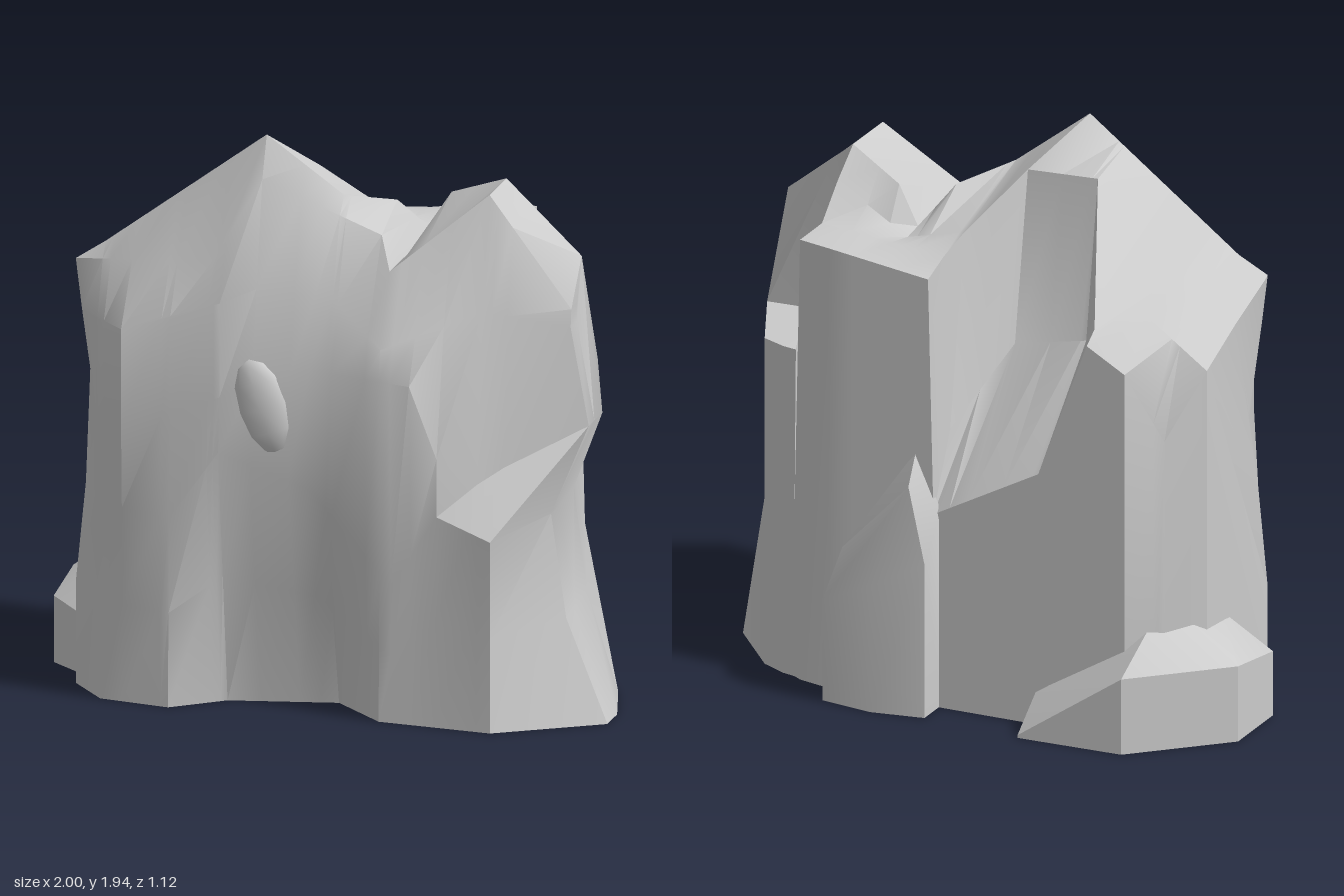
import * as THREE from 'three';
import { toCreasedNormals } from 'three/addons/utils/BufferGeometryUtils.js';
import { ConvexGeometry } from 'three/addons/geometries/ConvexGeometry.js';

const material = new THREE.MeshStandardMaterial({ color: 0xcccccc });

// Straight-line interpolation along a row of points whose first entry is the position.
function at(line, t) {
  const i = line.findIndex((p) => p[0] >= t);
  if (i < 1) return line.at(i);
  const a = line[i - 1], b = line[i];
  return a.map((v, k) => THREE.MathUtils.lerp(v, b[k], (t - a[0]) / (b[0] - a[0])));
}

// Outline of the right wall [y, x]: flared foot, narrow waist, bulging chest.
const rightWall = [[0, 1], [0.35, 0.85], [0.7, 0.79], [1, 0.91], [1.34, 0.85], [2, 0.85]];

// The end walls lean and pinch with height; the right one turns into an upright back corner.
function place([x, y, z]) {
  if (x === 0.85) x = THREE.MathUtils.lerp(at(rightWall, y)[1], 0.74, THREE.MathUtils.clamp(-z / 0.31, 0, 1));
  if (x === -0.86 && z > 0) x += 0.07 * Math.max(0, 1 - Math.abs(y - 0.95) / 0.5);
  return new THREE.Vector3(x, y, z);
}

// Skin neighbouring slices, wrapping round the underside, and close both ends.
function loft(slices) {
  const pos = [];
  const quad = (a, b, c, d) => [a, b, c, a, c, d].forEach((p) => pos.push(p.x, p.y, p.z));
  const n = slices[0].length;
  for (let i = 0; i < slices.length - 1; i++) {
    for (let j = 0; j < n; j++) {
      const k = (j + 1) % n;
      quad(slices[i][j], slices[i + 1][j], slices[i + 1][k], slices[i][k]);
    }
  }
  const l = slices[0], r = slices.at(-1);
  for (let j = 0; j < (n - 1) / 2; j++) {
    const b = n - 1 - j;
    quad(r[j], r[b], r[b - 1], r[j + 1]);
    quad(l[j], l[j + 1], l[b - 1], l[b]);
  }
  const geo = new THREE.BufferGeometry();
  geo.setAttribute('position', new THREE.Float32BufferAttribute(pos, 3));
  return toCreasedNormals(geo, 0.6);
}

// The main rock is drawn by feature lines running left to right, each [x, y, z].
function mainRock() {
  // Front: foot with the niche, niche rim, chest, brow under the hollow
  const foot = [[-0.86, 0, 0.25], [-0.73, 0, 0.43], [-0.48, 0, 0.49], [-0.31, 0, 0.35],
    [0.06, 0, 0.29], [0.25, 0, 0.5], [0.65, 0, 0.56], [0.85, 0, 0.34]];
  const rim = [[-0.86, 0.7, 0.25], [-0.65, 0.67, 0.45], [-0.48, 0.65, 0.48], [-0.31, 0.89, 0.48],
    [0, 0.78, 0.47], [0.29, 0.47, 0.49], [0.45, 0.72, 0.5], [0.65, 0.66, 0.56], [0.85, 0.7, 0.28]];
  const chest = [[-0.86, 0.95, 0.25], [-0.65, 0.95, 0.46], [0, 1.19, 0.46],
    [0.36, 1.17, 0.52], [0.45, 0.92, 0.5], [0.57, 0.82, 0.42], [0.85, 1, 0.24]];
  const brow = [[-0.86, 1.3, 0.25], [-0.65, 1.29, 0.46], [-0.31, 1.4, 0.46], [-0.2, 1.44, 0.39],
    [0.06, 1.42, 0.38], [0.25, 1.28, 0.48], [0.57, 1.4, 0.35], [0.85, 1.34, 0.25]];
  // Top: crest, skyline ridge and the saddle behind it
  const crest = [[-0.86, 1.47, 0.25], [-0.35, 1.53, 0.39], [-0.2, 1.8, 0.31], [0.2, 1.62, 0.26],
    [0.25, 1.52, 0.35], [0.57, 1.78, 0.25], [0.85, 1.4, 0.24]];
  const ridge = [[-0.86, 1.46, 0.23], [-0.2, 1.94, 0.25], [0.06, 1.74, 0.22], [0.2, 1.69, 0.05],
    [0.29, 1.56, -0.06], [0.36, 1.7, -0.06], [0.57, 1.78, 0.02], [0.85, 1.55, 0.1]];
  const saddle = [[-0.86, 1.38, 0], [-0.65, 1.53, 0], [-0.51, 1.43, -0.36], [-0.33, 1.8, 0.04],
    [-0.07, 1.79, 0.04], [0.06, 1.62, -0.18], [0.29, 1.55, -0.14], [0.57, 1.69, -0.1],
    [0.6, 1.18, -0.01], [0.85, 1.17, 0]];
  // Back: floor of the scoop and top of the back wall, with the chamfered corner and the ledge
  const scoop = [[-0.86, 1.29, -0.22], [-0.65, 1.44, -0.22], [-0.51, 1.41, -0.39], [-0.33, 1.25, -0.05],
    [-0.07, 1.2, -0.06], [0.06, 0.95, -0.29], [0.08, 1.57, -0.3], [0.57, 1.58, -0.22],
    [0.6, 1.17, -0.36], [0.85, 1.17, -0.31]];
  const backEdge = [[-0.86, 1.07, -0.22], [-0.76, 1.06, -0.34], [-0.65, 1.31, -0.42], [-0.51, 1.39, -0.42],
    [-0.33, 0.9, -0.42], [0.06, 0.69, -0.42], [0.08, 1.53, -0.42], [0.45, 1.58, -0.42],
    [0.57, 1.58, -0.39], [0.6, 0.6, -0.37], [0.85, 0.6, -0.31]];

  const lines = [foot, rim, chest, brow, crest, ridge, saddle, scoop, backEdge];
  const stations = [...new Set(lines.flat().map((p) => p[0]))].sort((a, b) => a - b);
  const rows = stations.map((x) => {
    const [base, ...upper] = lines.map((line) => at(line, x));
    const low = base.map((v, k) => (v + upper[0][k]) / 2);
    const back = upper.at(-1);
    return [base, low, ...upper, [x, 0, back[2]]];
  });
  // One more slice drawn in towards the middle rounds the right wall, its back level with its front
  rows.push(rows.at(-1).map(([x, y, z], j, row) =>
    [x, j > 6 ? row[10 - j][1] : y, 0.1 + (z - 0.1) * 0.45]));
  return loft(rows.map((row) => row.map(place)));
}

// Boulder standing on a footprint of [x, z, height], with extra points on top.
function boulder(footprint, ...tops) {
  const pts = footprint.flatMap(([x, z, h]) => [new THREE.Vector3(x, 0, z), new THREE.Vector3(x, h, z)]);
  tops.forEach((p) => pts.push(new THREE.Vector3(...p)));
  return toCreasedNormals(new ConvexGeometry(pts), 0.6);
}

export function createModel() {
  const group = new THREE.Group();
  group.name = 'rock';
  const add = (name, geometry) => {
    const mesh = new THREE.Mesh(geometry, material);
    mesh.name = name;
    group.add(mesh);
    return mesh;
  };

  add('mainRock', mainRock());

  // Low boulder at the back left foot
  add('footBoulder', boulder(
    [[-1, 0, 0.23], [-1, -0.27, 0.27], [-0.82, -0.38, 0.27], [-0.7, -0.55, 0.27],
      [-0.32, -0.56, 0.01], [-0.32, -0.4, 0.13], [-0.84, 0.16, 0.2]],
    [-0.84, 0.36, -0.05], [-0.72, 0.46, -0.25]));

  // Leaning slab against the back wall
  add('backSlab', boulder(
    [[0.04, -0.4, 0.7], [0.04, -0.53, 0.55], [0.23, -0.56, 0.45], [0.42, -0.53, 0.36], [0.44, -0.4, 0.36]],
    [0.1, 0.82, -0.53], [0.13, 0.9, -0.41], [0.36, 0.55, -0.5]));

  // Small knob on the front face
  const knob = add('frontKnob', new THREE.SphereGeometry(1, 8, 6));
  knob.scale.set(0.09, 0.17, 0.045);
  knob.position.set(-0.16, 1.05, 0.455);
  knob.rotation.z = 0.3;

  return group;
}
